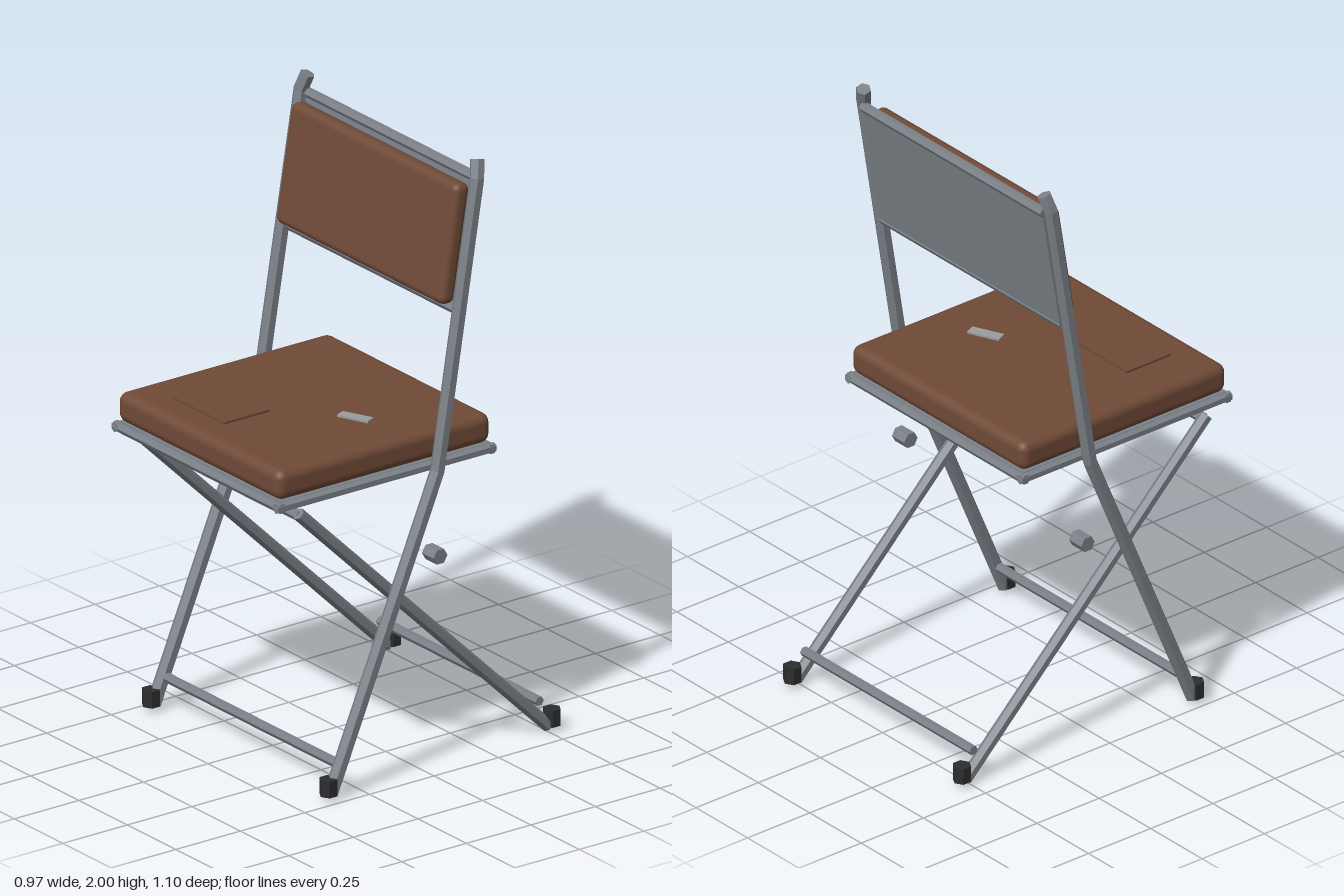
import * as THREE from 'three';
import { RoundedBoxGeometry } from 'three/addons/geometries/RoundedBoxGeometry.js';

const V = (x, y, z) => new THREE.Vector3(x, y, z);

// Hexagonal tube along a polyline, mitred at the bends and capped at both ends
function tubeGeometry(points, radius, sides = 6) {
  const dirs = points.slice(1).map((p, i) => p.clone().sub(points[i]).normalize());
  const ref = Math.abs(dirs[0].x) > 0.9 ? V(0, 1, 0) : V(1, 0, 0);
  const u = ref.clone().cross(dirs[0]).normalize();
  const v = dirs[0].clone().cross(u);
  let ring = [];
  for (let k = 0; k < sides; k++) {
    const a = (k / sides) * Math.PI * 2;
    ring.push(points[0].clone().addScaledVector(u, Math.cos(a) * radius).addScaledVector(v, Math.sin(a) * radius));
  }
  const tris = [];
  for (let k = 0; k < sides; k++) tris.push(points[0], ring[(k + 1) % sides], ring[k]);
  for (let i = 1; i < points.length; i++) {
    const d = dirs[i - 1];
    const n = d.clone().add(dirs[i] || d).normalize();
    const next = ring.map(p => p.clone().addScaledVector(d, points[i].clone().sub(p).dot(n) / d.dot(n)));
    for (let k = 0; k < sides; k++) {
      const j = (k + 1) % sides;
      tris.push(ring[k], ring[j], next[j], ring[k], next[j], next[k]);
    }
    ring = next;
  }
  const end = points[points.length - 1];
  for (let k = 0; k < sides; k++) tris.push(end, ring[k], ring[(k + 1) % sides]);
  const g = new THREE.BufferGeometry().setFromPoints(tris);
  g.computeVertexNormals();
  return g;
}

export function createModel() {
  const mat = (name, color) => {
    const m = new THREE.MeshStandardMaterial({ color });
    m.name = name;
    return m;
  };
  const steel = mat('steel', 0x7b8188);
  const leather = mat('brown leather', 0x704a37);
  const rubber = mat('black rubber', 0x2c2d2e);
  const tapeGrey = mat('tape grey', 0x9a9d9d);

  const model = new THREE.Group();
  model.name = 'foldingChair';
  const add = (name, geometry, material, parent = model) => {
    const m = new THREE.Mesh(geometry, material);
    m.name = name;
    parent.add(m);
    return m;
  };
  const tube = (name, radius, ...pts) => add(name, tubeGeometry(pts, radius), steel);
  const crossRail = (name, x, y, z, r) => tube(name, r, V(-x, y, z), V(x, y, z));

  for (const s of [-1, 1]) {
    const side = s > 0 ? 'left' : 'right';
    // Long bent tube: front leg and backrest upright
    tube(side + 'FrontLegAndUpright', 0.024,
      V(s * 0.457, 0.02, 0.368), V(s * 0.457, 1.0, -0.045),
      V(s * 0.455, 1.94, -0.2), V(s * 0.438, 1.995, -0.214));
    // Straight rear leg crossing the front one
    tube(side + 'RearLeg', 0.021, V(s * 0.412, 0.965, 0.46), V(s * 0.412, 0.018, -0.508));
    // Rubber feet
    for (const [name, x, z] of [['FrontFoot', 0.458, 0.377], ['RearFoot', 0.412, -0.522]]) {
      const foot = new THREE.CylinderGeometry(0.03, 0.03, 0.055, 6).toNonIndexed();
      foot.computeVertexNormals();
      add(side + name, foot, rubber).position.set(s * x, 0.046, z);
    }
    // Pivot bolt
    tube(side + 'PivotBolt', 0.027, V(s * 0.4, 0.71, -0.055), V(s * 0.46, 0.71, -0.055));
    // Seat frame side rail
    tube(side + 'SeatRail', 0.017, V(s * 0.417, 1.005, -0.294), V(s * 0.417, 1.005, 0.55));
  }

  // Cross rails
  crossRail('frontLegRail', 0.445, 0.107, 0.331, 0.016);
  crossRail('rearLegRail', 0.412, 0.107, -0.475, 0.016);
  crossRail('rearLegTopRail', 0.412, 0.955, 0.452, 0.018);
  crossRail('seatFrontRail', 0.43, 1.005, 0.535, 0.017);
  crossRail('seatBackRail', 0.43, 1.005, -0.279, 0.017);
  crossRail('backrestTopRail', 0.44, 1.932, -0.214, 0.017);
  crossRail('backrestBottomRail', 0.44, 1.51, -0.137, 0.017);

  // Seat pan and cushion
  add('seatPan', new THREE.BoxGeometry(0.83, 0.02, 0.81), steel).position.set(0, 1.012, 0.128);
  add('seatCushion', new RoundedBoxGeometry(0.844, 0.1, 0.826, 3, 0.032), leather).position.set(0, 1.072, 0.128);

  // Repair patch and strip of tape on the cushion
  add('patch', new THREE.BoxGeometry(0.268, 0.009, 0.176), leather).position.set(-0.135, 1.125, 0.348);
  const tape = add('tapeStrip', new THREE.BoxGeometry(0.11, 0.008, 0.037), tapeGrey);
  tape.position.set(0.2, 1.125, 0.08);
  tape.rotation.y = 0.42;

  // Tilted backrest: cushion in front, metal panel behind
  const backrest = new THREE.Group();
  backrest.name = 'backrest';
  backrest.position.set(0, 1.724, -0.137);
  backrest.rotation.x = -0.164;
  model.add(backrest);
  add('backrestCushion', new RoundedBoxGeometry(0.864, 0.396, 0.06, 3, 0.025), leather, backrest);
  add('backrestPanel', new THREE.BoxGeometry(0.88, 0.42, 0.014), steel, backrest).position.z = -0.042;

  return model;
}
